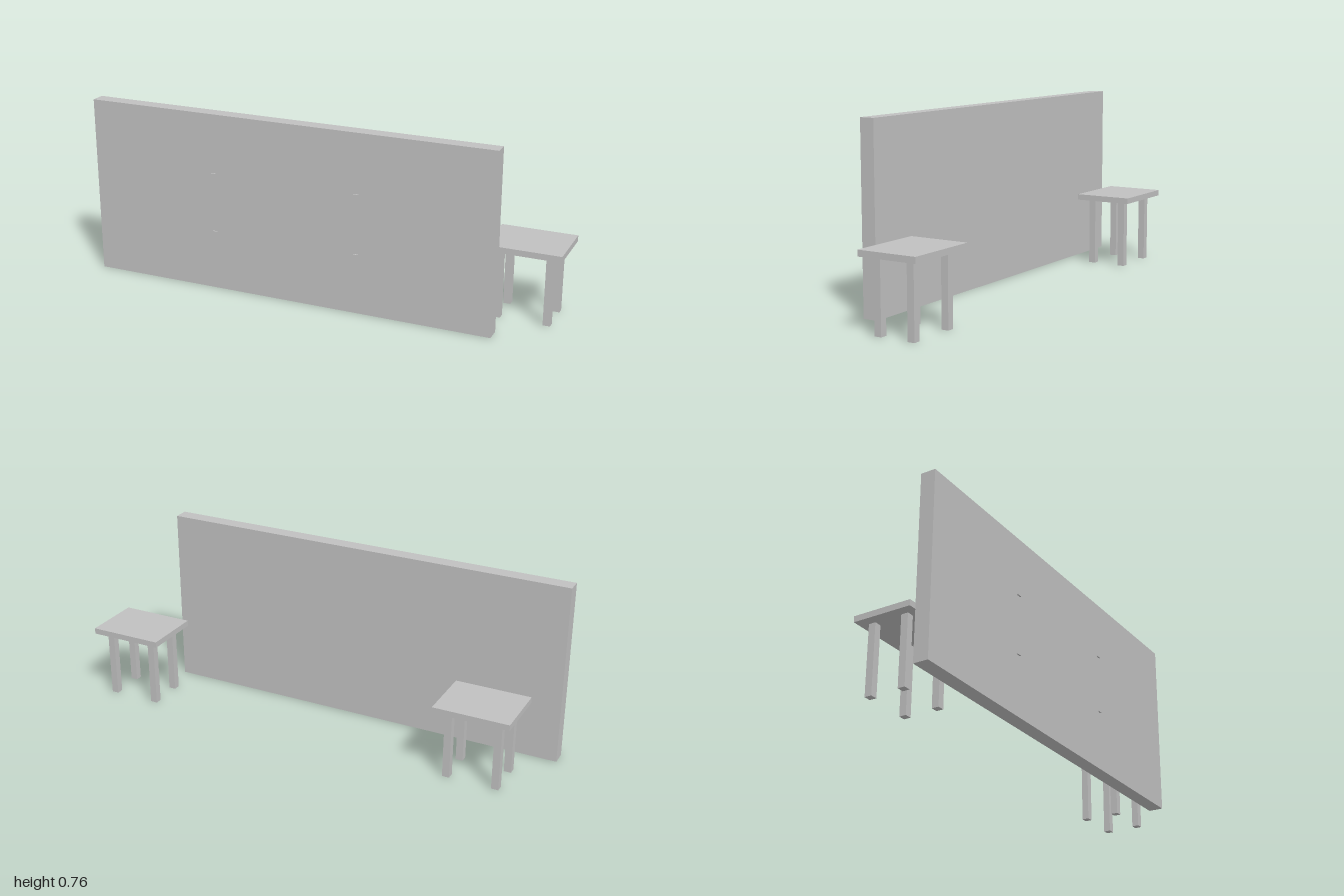
import * as THREE from 'three';

export function createModel() {
  const model = new THREE.Group();
  model.name = 'panelAndTables';
  const grey = new THREE.MeshStandardMaterial({ color: 0xc0c0c0 });
  grey.name = 'light grey';

  function box(parent, name, w, h, d, x, y, z) {
    const mesh = new THREE.Mesh(new THREE.BoxGeometry(w, h, d), grey);
    mesh.name = name;
    mesh.position.set(x, y, z);
    parent.add(mesh);
  }

  // Large upright panel
  box(model, 'panel', 1.776, 0.762, 0.062, -0.112, 0.381, 0.172);

  // Small pulls at the third points of the panel's front
  for (const x of [-0.431, 0.206]) {
    for (const y of [0.254, 0.508]) {
      box(model, 'pull', 0.021, 0.004, 0.006, x, y + 0.001, 0.206);
    }
  }

  // Two matching side tables behind the panel
  function table(name, x) {
    const group = new THREE.Group();
    group.name = name;
    group.position.set(x, 0, -0.0825);
    box(group, 'tableTop', 0.317, 0.025, 0.253, 0, 0.3055, 0);
    for (const sx of [-1, 1]) {
      for (const sz of [-1, 1]) {
        box(group, 'leg', 0.03, 0.293, 0.03, sx * 0.103, 0.1465, sz * 0.0735);
      }
    }
    model.add(group);
  }
  table('leftTable', 0.8415);
  table('rightTable', -0.747);

  return model;
}
